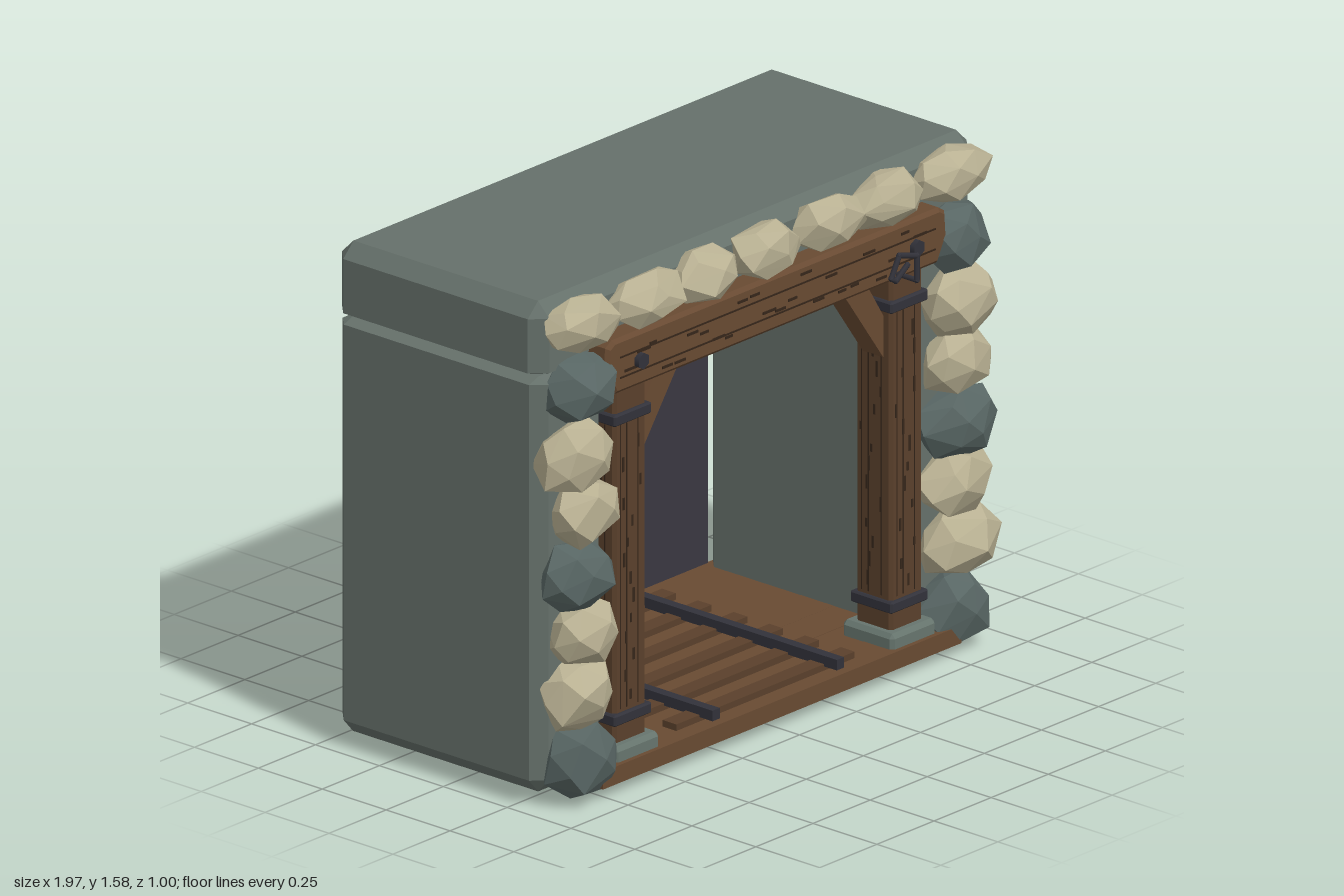
import * as THREE from 'three';
import { ConvexGeometry } from 'three/addons/geometries/ConvexGeometry.js';

const mat = (name, color) => {
  const m = new THREE.MeshStandardMaterial({ color });
  m.name = name;
  return m;
};

export function createModel() {
  const root = new THREE.Group();
  root.name = 'mineEntrance';
  const wallMat = mat('greenGreyRock', 0x65706a);
  const paleMat = mat('paleStone', 0xb8b092);
  const darkMat = mat('darkStone', 0x586664);
  const woodMat = mat('wood', 0x684a32);
  const postMat = mat('postWood', 0x5a402b);
  const grainMat = mat('woodGrain', 0x35261a);
  const ironMat = mat('iron', 0x32323a);
  const panelMat = mat('darkPanel', 0x3a3741);
  const plinthMat = mat('plinthStone', 0x66746d);

  let seed = 11;
  const rnd = () => (seed = (seed * 16807) % 2147483647) / 2147483647;

  const add = (name, geo, material, parent = root) => {
    const m = new THREE.Mesh(geo, material);
    m.name = name;
    parent.add(m);
    return m;
  };
  const box = (name, x0, x1, y0, y1, z0, z1, material, parent = root) => {
    const m = add(name, new THREE.BoxGeometry(x1 - x0, y1 - y0, z1 - z0), material, parent);
    m.position.set((x0 + x1) / 2, (y0 + y1) / 2, (z0 + z1) / 2);
    return m;
  };
  // Block with chamfered edges: c on the sides, cb at the bottom, ct at the top
  const block = (name, x0, x1, y0, y1, z0, z1, c, cb, ct, material, parent = root) => {
    const pts = [];
    for (const [x, sx] of [[x0, 1], [x1, -1]])
      for (const [z, sz] of [[z0, 1], [z1, -1]])
        for (const [y, dy] of [[y0, cb], [y1, -ct]])
          pts.push(
            new THREE.Vector3(x, y + dy, z + sz * c),
            new THREE.Vector3(x + sx * c, y + dy, z),
            new THREE.Vector3(x + sx * c, y, z + sz * c));
    return add(name, new ConvexGeometry(pts), material, parent);
  };

  // Rock shell: two side walls and a roof slab
  block('rightWall', -0.96, -0.66, 0.05, 1.35, -0.465, 0.34, 0.04, 0.045, 0.015, wallMat);
  block('leftWall', 0.66, 0.96, 0.05, 1.35, -0.465, 0.34, 0.04, 0.045, 0.015, wallMat);
  block('roof', -0.96, 0.96, 1.355, 1.585, -0.472, 0.34, 0.045, 0.015, 0.045, wallMat);

  // Dark panel closing the back
  block('backPanel', -0.68, 0.68, 0.05, 1.305, -0.5, -0.46, 0.008, 0.008, 0.008, panelMat);

  // Plank floor with uneven ends
  const floor = new THREE.Group();
  floor.name = 'floor';
  root.add(floor);
  const planks = 7, pd = 0.89 / planks;
  for (let i = 0; i < planks; i++) {
    const z = -0.465 + i * pd;
    box('floorPlank', -0.77 - rnd() * 0.03, 0.77 + rnd() * 0.03, 0.046, 0.1 + rnd() * 0.003, z, z + pd, woodMat, floor);
  }

  // Track: sleepers and two rails
  const track = new THREE.Group();
  track.name = 'track';
  root.add(track);
  for (let i = 0; i < 6; i++) {
    const z = -0.36 + i * 0.14;
    box('sleeper', -0.39, 0.39, 0.1, 0.122, z - 0.027, z + 0.027, postMat, track);
  }
  for (const x of [-0.272, 0.272])
    box('rail', x - 0.016, x + 0.016, 0.115, 0.148, -0.455, 0.417, ironMat, track);

  // Timber posts with plinths, iron bands and corner braces
  for (const s of [1, -1]) {
    const post = new THREE.Group();
    post.name = s > 0 ? 'leftPost' : 'rightPost';
    post.position.set(s * 0.605, 0, 0.31);
    root.add(post);
    block('postTimber', -0.07, 0.07, 0.12, 1.28, -0.07, 0.07, 0.01, 0.01, 0.01, postMat, post);
    block('plinth', -0.098, 0.098, 0.056, 0.148, -0.1, 0.1, 0.012, 0.01, 0.014, plinthMat, post);
    for (const y of [0.222, 1.162])
      block('ironBand', -0.082, 0.082, y - 0.018, y + 0.018, -0.082, 0.082, 0.006, 0.005, 0.005, ironMat, post);
    // Long grooves and short flecks on every face
    for (let k = 0; k < 4; k++) {
      const face = new THREE.Group();
      face.name = 'postGrain';
      face.rotation.y = k * Math.PI / 2;
      post.add(face);
      for (const x of [-0.045, -0.018, 0.032])
        box('groove', x - 0.002, x + 0.002, 0.25, 1.14, 0.067, 0.0715, grainMat, face);
      for (let i = 0; i < 14; i++) {
        const x = (rnd() - 0.5) * 0.1, y = 0.27 + i * 0.06;
        box('fleck', x - 0.004, x + 0.004, y, y + 0.025 + rnd() * 0.025, 0.067, 0.072, grainMat, face);
      }
    }
    const brace = new THREE.Shape([[0.54, 0.99], [0.54, 1.12], [0.45, 1.265], [0.345, 1.265]]
      .map(([x, y]) => new THREE.Vector2(s * x, y)));
    add('brace', new THREE.ExtrudeGeometry(brace, { depth: 0.08, bevelEnabled: false }), woodMat).position.z = 0.27;
  }

  // Lintel beam with tapered ends
  const half = [[0.7, 1.27], [0.735, 1.34], [0.73, 1.405], [0.71, 1.418]];
  const outline = [...half, ...half.slice().reverse().map(([x, y]) => [-x, y])];
  const beam = new THREE.Group();
  beam.name = 'lintel';
  root.add(beam);
  add('lintelTimber', new THREE.ExtrudeGeometry(
    new THREE.Shape(outline.map(([x, y]) => new THREE.Vector2(x, y))),
    { depth: 0.18, bevelThickness: 0.012, bevelSize: 0.012, bevelSegments: 1 }), woodMat, beam).position.z = 0.222;
  for (const y of [1.308, 1.372])
    box('beamGroove', -0.69, 0.69, y - 0.0025, y + 0.0025, 0.41, 0.4165, grainMat, beam);
  for (let i = 0; i < 24; i++) {
    const x = -0.67 + i * 0.055, y = 1.285 + rnd() * 0.12;
    box('beamFleck', x, x + 0.03 + rnd() * 0.03, y - 0.004, y + 0.004, 0.41, 0.417, grainMat, beam);
  }
  for (const x of [-0.603, 0.603]) {
    const bolt = add('bolt', new THREE.CylinderGeometry(0.026, 0.026, 0.025, 6), ironMat, beam);
    bolt.rotation.x = Math.PI / 2;
    bolt.position.set(x, 1.34, 0.418);
  }

  // Lantern hook: straight iron rods joined at round corners
  const hook = new THREE.Group();
  hook.name = 'hook';
  root.add(hook);
  const path = [[0.527, 1.278, 0.4], [0.527, 1.278, 0.488], [0.527, 1.355, 0.488], [0.45, 1.378, 0.488],
    [0.415, 1.315, 0.488], [0.435, 1.302, 0.488], [0.485, 1.338, 0.488]].map(p => new THREE.Vector3(...p));
  for (let i = 0; i + 1 < path.length; i++) {
    const d = path[i + 1].clone().sub(path[i]);
    const rod = add('hookRod', new THREE.CylinderGeometry(0.009, 0.009, d.length(), 6), ironMat, hook);
    rod.position.copy(path[i]).addScaledVector(d, 0.5);
    rod.quaternion.setFromUnitVectors(new THREE.Vector3(0, 1, 0), d.normalize());
    add('hookJoint', new THREE.IcosahedronGeometry(0.01, 0), ironMat, hook).position.copy(path[i + 1]);
  }

  // Faceted boulders: convex hulls of a jittered sphere of points
  const stones = new THREE.Group();
  stones.name = 'stoneSurround';
  root.add(stones);
  const boulder = (x, y, z, rx, ry, rz, material) => {
    const pts = [], n = 22, turn = rnd() * 6.28;
    for (let i = 0; i < n; i++) {
      const v = 1 - 2 * (i + 0.5) / n, r = Math.sqrt(1 - v * v);
      const a = turn + i * 2.4 + (rnd() - 0.5) * 0.5, k = 0.9 + rnd() * 0.22;
      pts.push(new THREE.Vector3(Math.cos(a) * r * rx * k, v * ry * k, Math.sin(a) * r * rz * k));
    }
    add('boulder', new ConvexGeometry(pts), material, stones).position.set(x, y, z);
  };
  // Columns: height, right centre and half width, left centre and half width, half height, dark flag
  const rows = [
    [0.14, -0.815, 0.13, 0.82, 0.125, 0.125, 1],
    [0.345, -0.825, 0.135, 0.84, 0.15, 0.112, 0],
    [0.535, -0.81, 0.13, 0.82, 0.14, 0.105, 0],
    [0.72, -0.83, 0.145, 0.83, 0.145, 0.112, 1],
    [0.915, -0.805, 0.125, 0.825, 0.135, 0.108, 0],
    [1.1, -0.84, 0.155, 0.83, 0.145, 0.115, 0],
    [1.3, -0.81, 0.125, 0.82, 0.13, 0.11, 1]];
  for (const [y, xr, wr, xl, wl, h, dark] of rows) {
    boulder(xr, y, 0.37, wr, h, 0.095, dark ? darkMat : paleMat);
    boulder(xl, y, 0.37, wl, h, 0.095, dark ? darkMat : paleMat);
  }
  // Top row
  for (const x of [-0.81, -0.53, -0.27, 0, 0.27, 0.53, 0.81])
    boulder(x, 1.5, 0.365, Math.abs(x) < 0.4 ? 0.14 : 0.15, 0.086, 0.088, paleMat);

  return root;
}
